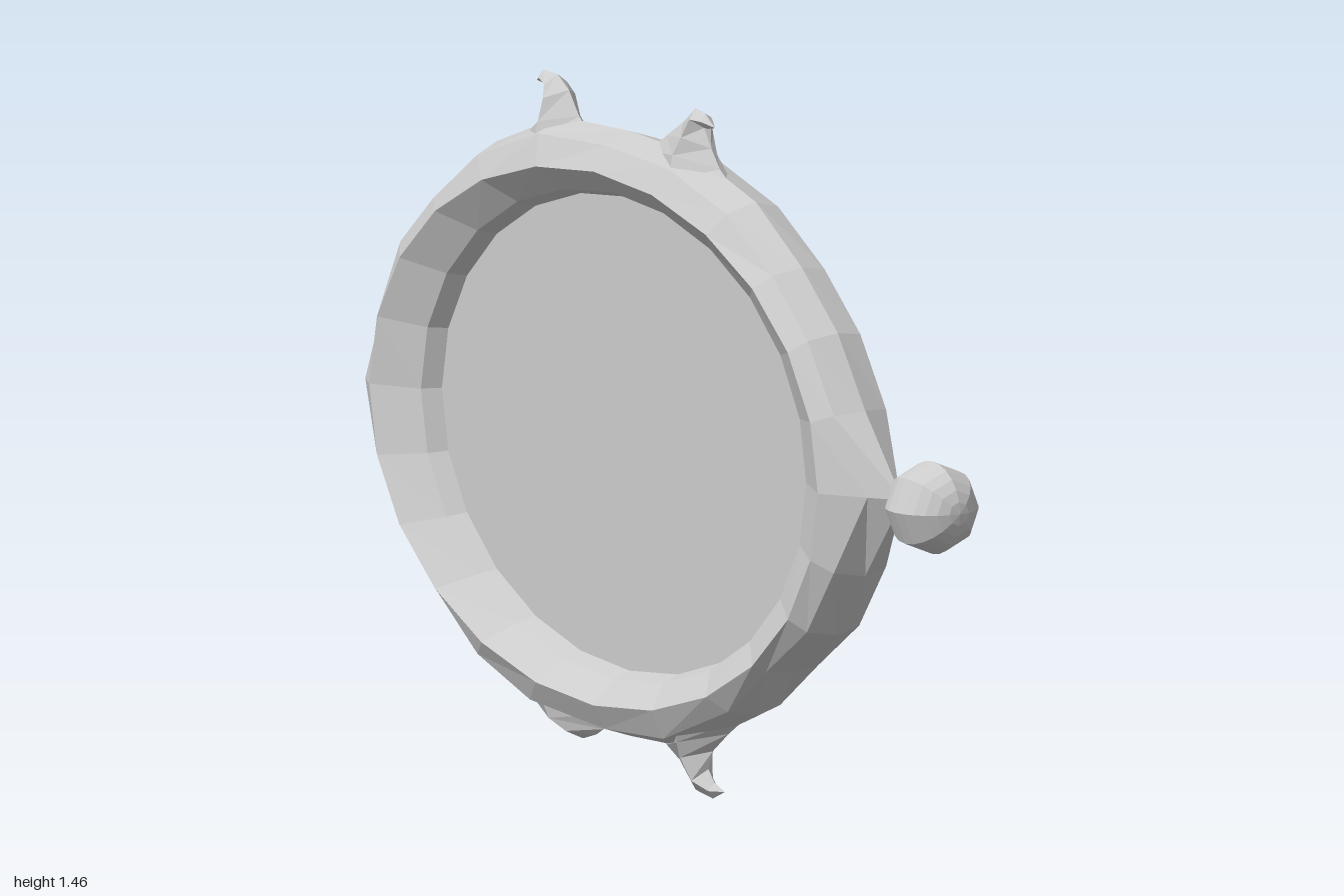
import * as THREE from 'three';

const grey = new THREE.MeshStandardMaterial({ color: 0xcccccc, flatShading: true });
grey.name = 'plain grey';

const CY = 0.73, CZ = -0.145, SIDES = 24;

// Skins closed loops of [x, y, z] points stacked along a path
function skin(loops, closePath) {
  const n = loops[0].length, m = loops.length, index = [];
  for (let j = 0; j < (closePath ? m : m - 1); j++) {
    for (let i = 0; i < n; i++) {
      const i2 = (i + 1) % n, j2 = (j + 1) % m;
      const a = j * n + i, b = j * n + i2, c = j2 * n + i2, d = j2 * n + i;
      index.push(a, b, c, a, c, d);
    }
  }
  const g = new THREE.BufferGeometry();
  g.setAttribute('position', new THREE.Float32BufferAttribute(loops.flat(2), 3));
  g.setIndex(index);
  const flat = g.toNonIndexed();
  flat.computeVertexNormals();
  return flat;
}

function ellipse(x, rz, ry) {
  return Array.from({ length: SIDES }, (_, i) => {
    const t = (i / SIDES) * Math.PI * 2;
    return [x, CY + ry * Math.sin(t), CZ + rz * Math.cos(t)];
  });
}

// Irregular outer ridge as [z, y], from the front point over the top
const RIDGE = [
  [0.8, 0.73], [0.67, 0.9], [0.575, 1.05], [0.45, 1.17], [0.29, 1.285], [0.08, 1.355],
  [-0.145, 1.37], [-0.39, 1.365], [-0.61, 1.28], [-0.76, 1.155], [-0.87, 1.05], [-0.93, 0.89],
  [-1, 0.73], [-0.95, 0.57], [-0.85, 0.46], [-0.74, 0.31], [-0.61, 0.19], [-0.43, 0.115],
  [-0.145, 0.09], [0.06, 0.095], [0.3, 0.2], [0.42, 0.31], [0.57, 0.41], [0.67, 0.55],
];

// Shoulder between the rim crest and the ridge, pinched at the front point
function shoulder(side) {
  return ellipse(0, 0.78, 0.565).map(([, y, z], i) => {
    const [rz, ry] = RIDGE[i], front = i === 0;
    const t = front ? 0.6 : 0.7;
    return [side * (front ? 0.042 : 0.068), y + (ry - y) * t, z + (rz - z) * t];
  });
}

// Curved horn: sections are [front z, front y, back z, back y, half width]
function horn(sections, direction) {
  return skin(sections.map(([fz, fy, bz, by, w]) => {
    const y = (fy + by) / 2, z = (fz + bz) / 2, s = w * direction;
    return [[0, fy, fz], [s, y, z], [0, by, bz], [-s, y, z]];
  }), false);
}

export function createModel() {
  const model = new THREE.Group();
  model.name = 'ovalFrame';
  const add = (name, geometry) => {
    const mesh = new THREE.Mesh(geometry, grey);
    mesh.name = name;
    model.add(mesh);
    return mesh;
  };

  // Frame: inner wall, bevel, crest, shoulder and ridge, mirrored in x
  add('frame', skin([
    ellipse(0, 0.65, 0.5),
    ellipse(0.045, 0.67, 0.515),
    ellipse(0.097, 0.78, 0.565),
    shoulder(1),
    RIDGE.map(([z, y]) => [0, y, z]),
    shoulder(-1),
    ellipse(-0.097, 0.78, 0.565),
    ellipse(-0.045, 0.67, 0.515),
  ], true));

  // Thin pane filling the opening
  const pane = new THREE.CylinderGeometry(1, 1, 0.008, SIDES);
  pane.rotateZ(Math.PI / 2);
  pane.scale(1, 0.505, 0.655);
  add('pane', pane).position.set(0, CY, CZ);

  // Hooked horns on the top and bottom of the ridge
  add('topBackHorn', horn([
    [-0.27, 1.33, -0.52, 1.3, 0.068],
    [-0.325, 1.375, -0.465, 1.345, 0.055],
    [-0.36, 1.425, -0.43, 1.39, 0.042],
    [-0.4, 1.453, -0.415, 1.412, 0.03],
    [-0.45, 1.455, -0.44, 1.425, 0.015],
    [-0.472, 1.43, -0.472, 1.43, 0],
  ], 1));
  add('topFrontHorn', horn([
    [0.24, 1.28, -0.08, 1.34, 0.068],
    [0.165, 1.335, -0.02, 1.38, 0.055],
    [0.135, 1.375, 0.035, 1.415, 0.042],
    [0.11, 1.415, 0.08, 1.452, 0.028],
    [0.125, 1.415, 0.115, 1.445, 0.015],
    [0.147, 1.42, 0.147, 1.42, 0],
  ], 1));
  add('bottomFrontHorn', horn([
    [0.26, 0.19, -0.06, 0.12, 0.068],
    [0.195, 0.145, -0.02, 0.09, 0.055],
    [0.14, 0.1, 0.025, 0.065, 0.042],
    [0.125, 0.06, 0.08, 0.01, 0.028],
    [0.145, 0.035, 0.14, 0, 0.014],
    [0.182, 0.02, 0.182, 0.02, 0],
  ], -1));
  add('bottomBackHorn', horn([
    [-0.2, 0.13, -0.54, 0.17, 0.068],
    [-0.24, 0.09, -0.475, 0.115, 0.055],
    [-0.265, 0.075, -0.385, 0.08, 0.035],
    [-0.312, 0.06, -0.312, 0.06, 0],
  ], -1));

  // Ball touching the front point, with its poles along z
  const ball = new THREE.SphereGeometry(0.098, 8, 12);
  ball.rotateX(Math.PI / 2);
  add('frontBall', ball).position.set(0, CY, 0.902);

  return model;
}
